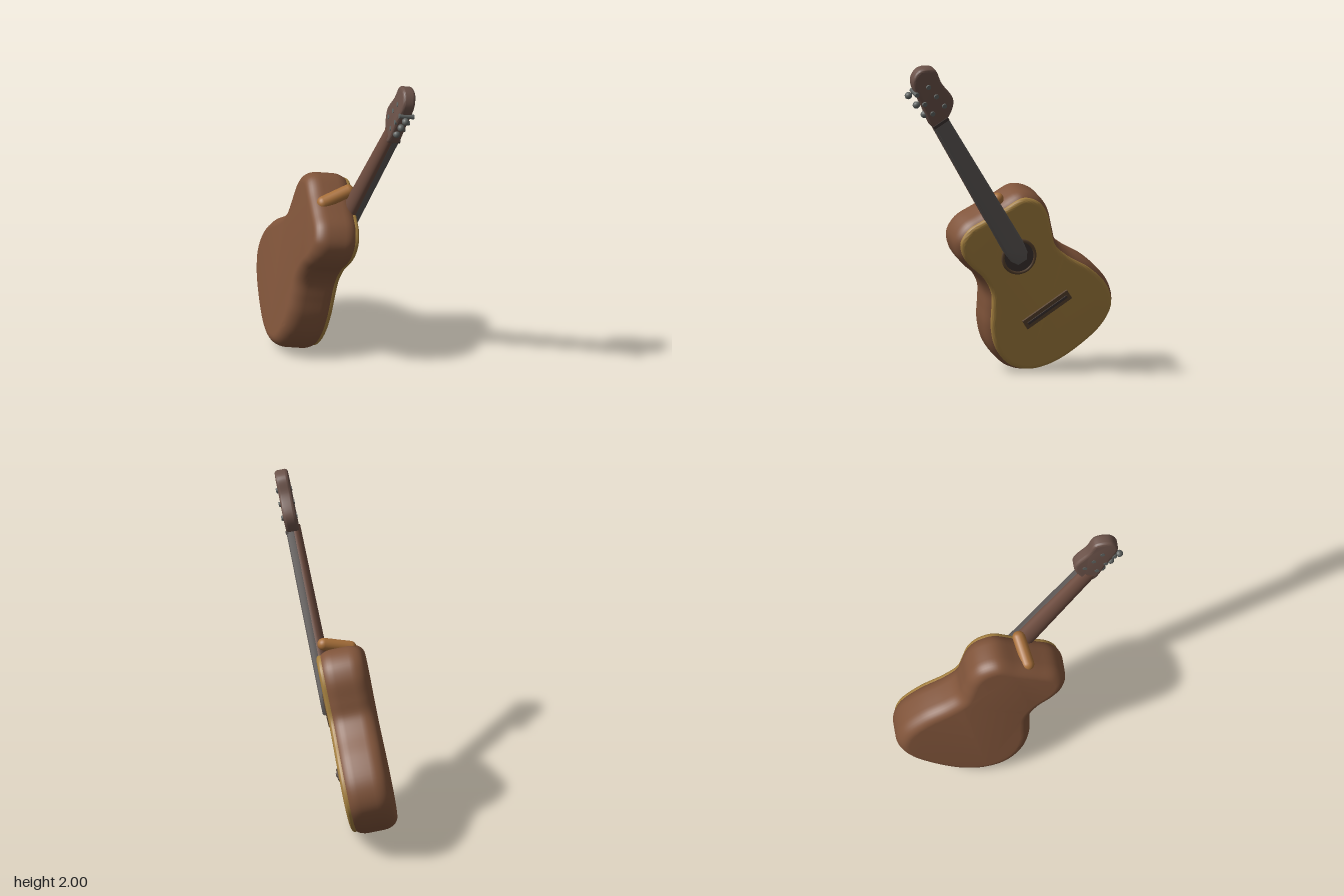
import * as THREE from 'three';
import { toCreasedNormals } from 'three/addons/utils/BufferGeometryUtils.js';

const mat = (color) => new THREE.MeshStandardMaterial({ color });
const WOOD = mat(0x80543a), TOP = mat(0xa5803f), NECK = mat(0x6e4d40);
const BOARD = mat(0x5d5856), DARK = mat(0x3d3431), BRIDGE = mat(0x59432f);
const CREAM = mat(0xa8703a), HEAD = mat(0x6b5249), METAL = mat(0x5f6361);

// Parts are laid out flat (X across, Y up, Z out of the soundboard), then tilted
// so that the soundboard faces +x and leans back.
const tilt = new THREE.Matrix4().makeBasis(
  new THREE.Vector3(0.3, 0, -1),
  new THREE.Vector3(0.2, 1, 0),
  new THREE.Vector3(1, -0.2, 0.3).normalize()
).setPosition(-0.041, 0, 0);

const NECK_ANGLE = 0.588;
const neckStart = new THREE.Vector2(0.055, 0.74);

function smoothLoop(points, count) {
  const curve = new THREE.CatmullRomCurve3(points.map(([x, y]) => new THREE.Vector3(x, y, 0)), true);
  return new THREE.Shape(curve.getPoints(count).slice(0, -1).map((p) => new THREE.Vector2(p.x, p.y)));
}

// Rounded slab between z0 and z1, never wider than its outline less the inset
function slab(shape, z0, z1, round, size = round, inset = 0) {
  const geo = new THREE.ExtrudeGeometry(shape, {
    depth: z1 - z0 - 2 * round, bevelThickness: round, bevelSize: size,
    bevelOffset: -size - inset, bevelSegments: 8, curveSegments: 24,
  });
  return toCreasedNormals(geo.translate(0, 0, z0 + round), 0.7);
}

// Moves geometry from the neck's own axis (Y along the neck) onto the guitar
const alongNeck = (geo) => geo.rotateZ(NECK_ANGLE).translate(neckStart.x, neckStart.y, 0);

export function createModel() {
  const guitar = new THREE.Group();
  guitar.name = 'guitar';
  const add = (name, geo, material) => {
    const mesh = new THREE.Mesh(geo.applyMatrix4(tilt), material);
    mesh.name = name;
    guitar.add(mesh);
  };

  // Hollow body with well rounded edges and a separate soundboard
  const outline = smoothLoop([
    [0.04, 1.125], [0.15, 1.095], [0.22, 1.015], [0.265, 0.89], [0.3, 0.8], [0.38, 0.73],
    [0.53, 0.64], [0.655, 0.515], [0.697, 0.38], [0.65, 0.25], [0.53, 0.125], [0.37, 0.02],
    [0.22, -0.014], [0.08, 0.025], [-0.025, 0.14], [-0.074, 0.28], [-0.085, 0.4],
    [-0.098, 0.5], [-0.16, 0.6], [-0.25, 0.68], [-0.31, 0.76], [-0.33, 0.85],
    [-0.285, 0.94], [-0.19, 1.0], [-0.08, 1.06],
  ], 140);
  add('body', slab(outline, -0.28, -0.002, 0.09, 0.065), WOOD);
  add('soundboard', slab(outline, -0.05, 0.005, 0.02, 0.03, 0.022), TOP);

  // Sound hole and its rim
  const oval = (geo, z) => alongNeck(geo.scale(1, 1.12, 1)).translate(0, 0, z);
  add('soundHole', oval(new THREE.CircleGeometry(0.095, 40), 0.008), DARK);
  add('soundHoleRim', oval(new THREE.TorusGeometry(0.095, 0.01, 8, 40), 0.005), BRIDGE);

  // Bridge and saddle
  const bar = (w, h, d, z) =>
    new THREE.BoxGeometry(w, h, d).rotateZ(0.62).translate(0.27, 0.39, z);
  add('bridge', bar(0.31, 0.065, 0.02, 0.009), BRIDGE);
  add('saddle', bar(0.27, 0.016, 0.012, 0.02), DARK);

  // Fretboard, tapering towards the head and rounded off over the sound hole
  const board = new THREE.Shape([
    [-0.03, -0.035], [0.03, -0.035], [0.055, 0.01], [0.064, 0.09],
    [0.05, 1.09], [-0.05, 1.09], [-0.064, 0.09], [-0.055, 0.01],
  ].map(([x, y]) => new THREE.Vector2(x, y)));
  add('fretboard', alongNeck(slab(board, -0.02, 0.036, 0.014)), BOARD);

  // Rounded neck behind the fretboard
  const neck = new THREE.CylinderGeometry(0.05, 0.063, 0.85, 28)
    .scale(1, 1, 0.72).translate(0, 0.7, -0.018);
  add('neck', alongNeck(neck), NECK);

  // Heel, running back from the neck and sinking into the body
  const heelDirection = new THREE.Vector3(-0.03, -0.09, -0.19).normalize();
  const heel = new THREE.CapsuleGeometry(0.038, 0.17, 8, 20)
    .applyQuaternion(new THREE.Quaternion().setFromUnitVectors(new THREE.Vector3(0, 1, 0), heelDirection))
    .translate(-0.115, 1.06, -0.13);
  add('heel', heel, CREAM);

  // Headstock
  const head = smoothLoop([
    [-0.755, 1.92], [-0.72, 1.99], [-0.63, 1.99], [-0.575, 1.9], [-0.485, 1.78],
    [-0.515, 1.66], [-0.58, 1.61], [-0.67, 1.75],
  ], 60);
  add('headstock', slab(head, -0.045, 0.035, 0.018), HEAD);
  add('nut', alongNeck(new THREE.BoxGeometry(0.1, 0.02, 0.05).translate(0, 1.09, 0.015)), DARK);

  // Tuning pegs: three posts with small buttons on each side of the head
  for (const side of [-1, 1]) {
    for (let i = 0; i < 3; i++) {
      const y = 1.18 + i * 0.085;
      const centre = 0.025 - i * 0.012;
      const post = new THREE.CylinderGeometry(0.014, 0.014, 0.095, 12)
        .rotateX(Math.PI / 2).translate(centre + side * 0.04, y, 0);
      add('tuningPost', alongNeck(post), METAL);
      const button = new THREE.SphereGeometry(0.022, 14, 10)
        .translate(centre + side * 0.077, y, -0.012);
      add('tuningButton', alongNeck(button), METAL);
    }
  }
  return guitar;
}
